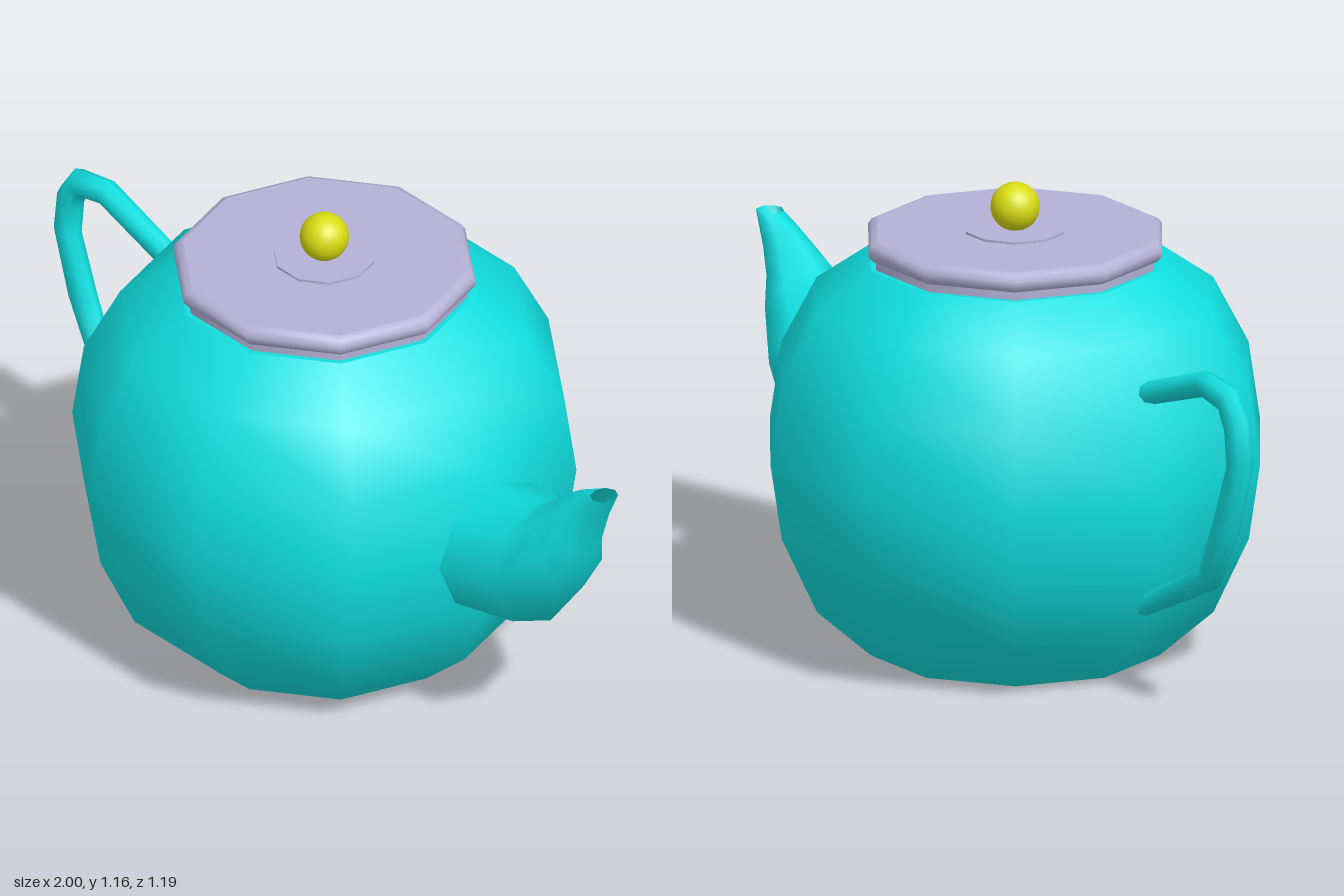
import * as THREE from 'three';

const AXIS_X = -0.04;
const glaze = new THREE.MeshStandardMaterial({ color: 0x10dfe0, side: THREE.DoubleSide });
const lilac = new THREE.MeshStandardMaterial({ color: 0xb4b1d6 });
const yellow = new THREE.MeshStandardMaterial({ color: 0xd8dc10 });

function named(name, geometry, material) {
  const mesh = new THREE.Mesh(geometry, material);
  mesh.name = name;
  return mesh;
}

// Ten-sided turned part; a repeated profile point makes a sharp edge.
function turned(name, profile, material) {
  const points = profile.map(([r, y]) => new THREE.Vector2(r, y));
  const mesh = named(name, new THREE.LatheGeometry(points, 10, Math.PI / 2), material);
  mesh.position.x = AXIS_X;
  return mesh;
}

// Eight-sided tube through rings given as [outer x, outer y, inner x, inner y, half depth].
function loft(rings) {
  const sides = 8, positions = [], index = [];
  rings.forEach(([ax, ay, bx, by, w], j) => {
    for (let k = 0; k < sides; k++) {
      const t = (k / sides) * Math.PI * 2, c = Math.cos(t) / 2;
      positions.push((ax + bx) / 2 + (ax - bx) * c, (ay + by) / 2 + (ay - by) * c, w * Math.sin(t));
      if (j === rings.length - 1) continue;
      const p = j * sides + k, q = j * sides + (k + 1) % sides;
      index.push(p, q, p + sides, q, q + sides, p + sides);
    }
  });
  const geometry = new THREE.BufferGeometry();
  geometry.setAttribute('position', new THREE.Float32BufferAttribute(positions, 3));
  geometry.setIndex(index);
  geometry.computeVertexNormals();
  return geometry;
}

export function createModel() {
  const teapot = new THREE.Group();
  teapot.name = 'teapot';

  // Round body with flat foot and shoulder
  teapot.add(turned('body', [
    [0, 0], [0.367, 0], [0.367, 0], [0.505, 0.123], [0.595, 0.317], [0.624, 0.51],
    [0.595, 0.705], [0.505, 0.877], [0.367, 0.975], [0.367, 0.975], [0, 0.975],
  ], glaze));

  // Lid: collar, rounded rim and flat top
  teapot.add(turned('lid', [
    [0.354, 0.972], [0.354, 0.995], [0.354, 0.995], [0.362, 0.998], [0.373, 1.01],
    [0.374, 1.026], [0.365, 1.039], [0.35, 1.045], [0.35, 1.045], [0, 1.045],
  ], lilac));
  teapot.add(turned('knobBase', [
    [0.125, 1.043], [0.125, 1.051], [0.125, 1.051], [0, 1.051],
  ], lilac));

  const knob = named('knob', new THREE.SphereGeometry(0.06, 24, 16), yellow);
  knob.position.set(AXIS_X, 1.104, 0);
  teapot.add(knob);

  // Spout, open at the tip
  teapot.add(named('spout', loft([
    [0.565, 0.68, 0.565, 0.34, 0.173],
    [0.715, 0.692, 0.775, 0.387, 0.165],
    [0.79, 0.745, 0.89, 0.55, 0.108],
    [0.845, 0.792, 0.912, 0.645, 0.075],
    [0.89, 0.823, 0.957, 0.755, 0.05],
    [0.935, 0.842, 1.0, 0.845, 0.036],
  ]), glaze));
  const spoutBase = named('spoutBase', new THREE.CircleGeometry(0.17, 8), glaze);
  spoutBase.rotation.y = -Math.PI / 2;
  spoutBase.position.set(0.565, 0.51, 0);
  teapot.add(spoutBase);

  // Handle loop, from its lower end to its upper end
  teapot.add(named('handle', loft([
    [-0.58, 0.2, -0.58, 0.26, 0.032],
    [-0.863, 0.337, -0.815, 0.387, 0.032],
    [-0.948, 0.503, -0.87, 0.515, 0.032],
    [-1.0, 0.68, -0.928, 0.668, 0.032],
    [-0.987, 0.79, -0.92, 0.755, 0.032],
    [-0.938, 0.863, -0.9, 0.8, 0.032],
    [-0.82, 0.882, -0.826, 0.818, 0.032],
    [-0.58, 0.795, -0.59, 0.738, 0.032],
  ]), glaze));

  return teapot;
}
